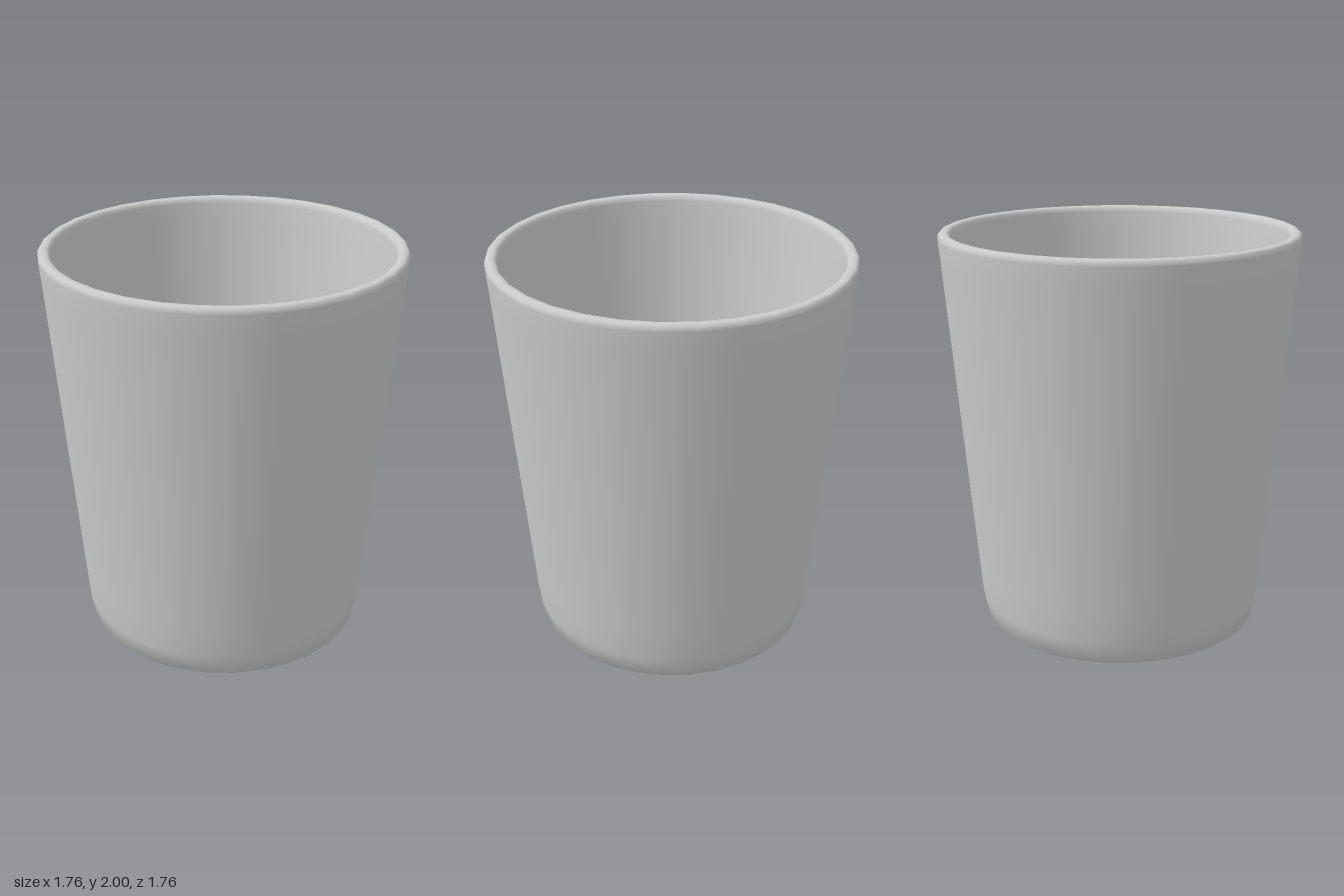
import * as THREE from 'three';

export function createModel() {
  const group = new THREE.Group();
  group.name = 'cup';

  // Closed wall profile: underside, outer wall, rounded rim, inner wall, floor
  const profile = [
    [0, 0], [0.6, 0], [0.64, 0.003], [0.695, 0.02],
    [0.72, 0.13], [0.735, 0.3], [0.797, 1], [0.873, 1.88],
    [0.882, 1.97], [0.878, 1.99], [0.865, 2], [0.84, 2], [0.826, 1.99], [0.822, 1.97],
    [0.813, 1.88], [0.737, 1], [0.675, 0.3], [0.658, 0.14],
    [0.635, 0.08], [0.58, 0.06], [0, 0.06],
  ].map(([r, y]) => new THREE.Vector2(r, y));

  const body = new THREE.Mesh(
    new THREE.LatheGeometry(profile, 32),
    new THREE.MeshStandardMaterial({ color: 0xcccccc }),
  );
  body.name = 'cupBody';
  group.add(body);
  return group;
}
